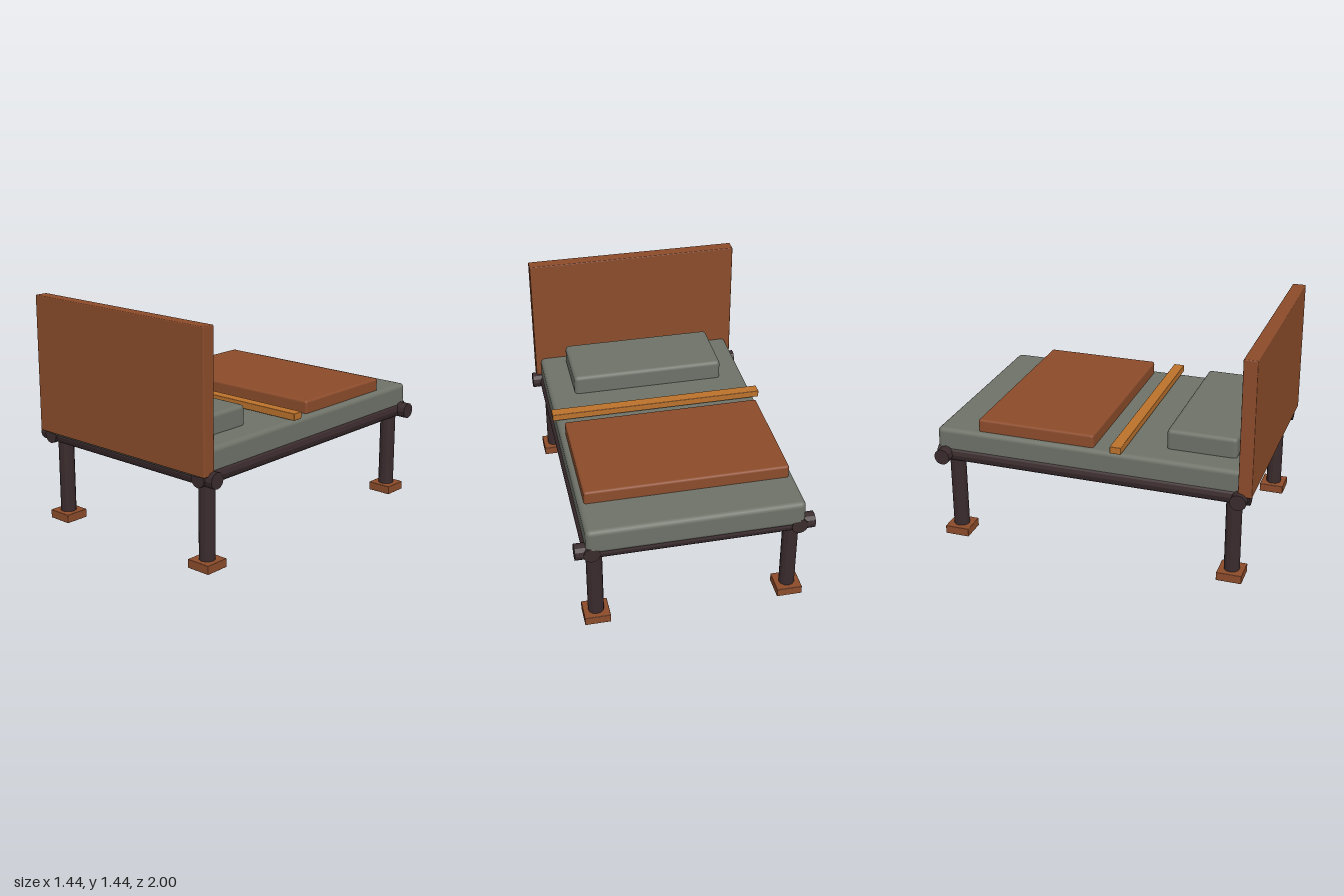
import * as THREE from 'three';
import { RoundedBoxGeometry } from 'three/addons/geometries/RoundedBoxGeometry.js';

export function createModel() {
  const bed = new THREE.Group();
  bed.name = 'bed';

  const paint = (name, color) => {
    const m = new THREE.MeshStandardMaterial({ color });
    m.name = name;
    return m;
  };
  const wood = paint('brown wood', 0x8c4c2b);
  const cloth = paint('grey green cloth', 0x6e7268);
  const metal = paint('dark metal', 0x3a2b2d);
  const trim = paint('orange trim', 0xbc722c);

  const add = (name, geometry, material) => {
    const mesh = new THREE.Mesh(geometry, material);
    mesh.name = name;
    bed.add(mesh);
    return mesh;
  };

  // Softly bevelled block given by its minimum and maximum corners
  const block = (name, material, [x0, y0, z0], [x1, y1, z1], bevel) => {
    const g = new RoundedBoxGeometry(x1 - x0, y1 - y0, z1 - z0, 2, bevel);
    g.translate((x0 + x1) / 2, (y0 + y1) / 2, (z0 + z1) / 2);
    return add(name, g, material);
  };

  // Faceted pole along y with flat normals
  const pole = (radius, length) => {
    const g = new THREE.CylinderGeometry(radius, radius, length, 12).toNonIndexed();
    g.computeVertexNormals();
    return g;
  };

  // Bedding and headboard
  block('mattress', cloth, [-0.655, 0.57, -0.998], [0.655, 0.733, 0.99], 0.03);
  block('pillow', cloth, [-0.495, 0.715, 0.43], [0.49, 0.857, 0.86], 0.025);
  block('blanket', wood, [-0.625, 0.715, -0.73], [0.62, 0.812, 0.015], 0.015);
  block('beltStrip', trim, [-0.68, 0.742, 0.137], [0.68, 0.786, 0.206], 0.004);
  block('headboard', wood, [-0.69, 0.59, 0.917], [0.69, 1.44, 1], 0.006);

  // Side rails
  for (const side of [-1, 1]) {
    const rail = add('sideRail', pole(0.05, 1.98), metal);
    rail.rotation.x = Math.PI / 2;
    rail.position.set(side * 0.622, 0.565, -0.008);
  }

  // End rails, then legs and feet at each corner
  for (const [railZ, legZ] of [[0.925, 0.88], [-0.945, -0.893]]) {
    const rail = add('endRail', pole(0.05, 1.44), metal);
    rail.rotation.z = Math.PI / 2;
    rail.position.set(0, 0.565, railZ);

    for (const side of [-1, 1]) {
      const x = side * 0.598;
      add('leg', pole(0.049, 0.56), metal).position.set(x, 0.28, legZ);
      block('foot', wood, [x - 0.079, 0.002, legZ - 0.078], [x + 0.079, 0.056, legZ + 0.078], 0.004);
    }
  }

  return bed;
}
